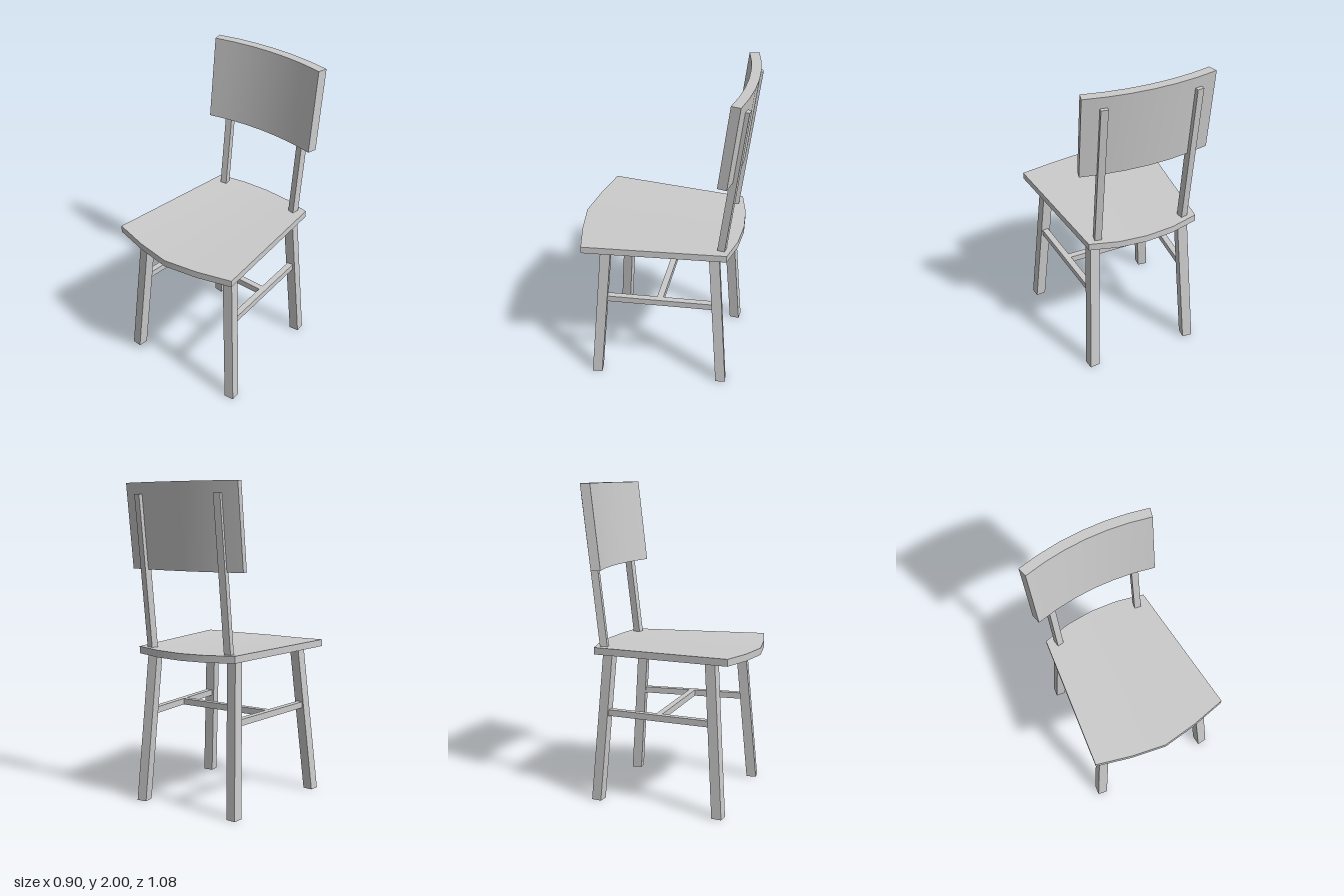
import * as THREE from 'three';

const grey = new THREE.MeshStandardMaterial({ color: 0xcccccc });

// Subdivided box whose vertices are moved by a rule; each side keeps its own normals.
function bentBox(name, segX, rule) {
  const geo = new THREE.BoxGeometry(2, 2, 2, segX, 1, 1);
  const pos = geo.attributes.position;
  for (let i = 0; i < pos.count; i++) {
    pos.setXYZ(i, ...rule(pos.getX(i), pos.getY(i), pos.getZ(i)));
  }
  geo.computeVertexNormals();
  const mesh = new THREE.Mesh(geo, grey);
  mesh.name = name;
  return mesh;
}

// Leaning post with level ends: a yawed w x d section slides from point a up to point b.
function post(name, a, b, w, d, yaw) {
  const c = Math.cos(yaw), s = Math.sin(yaw);
  return bentBox(name, 1, (u, v, t) => {
    const k = (v + 1) / 2, x = u * w / 2, z = t * d / 2;
    return [
      a[0] + (b[0] - a[0]) * k + x * c + z * s,
      a[1] + (b[1] - a[1]) * k,
      a[2] + (b[2] - a[2]) * k - x * s + z * c,
    ];
  });
}

// Level bar between two points.
function bar(name, a, b, height, width) {
  const from = new THREE.Vector3(...a), to = new THREE.Vector3(...b);
  const mesh = new THREE.Mesh(new THREE.BoxGeometry(width, height, from.distanceTo(to)), grey);
  mesh.position.copy(from).lerp(to, 0.5);
  mesh.lookAt(to);
  mesh.name = name;
  return mesh;
}

export function createModel() {
  const chair = new THREE.Group();
  chair.name = 'chair';

  // Tapered seat, bowed at front and back and slightly dished across its width
  const frontEdge = [0.537, 0.503, 0.45], backEdge = [-0.497, -0.483, -0.44];
  chair.add(bentBox('seat', 4, (u, v, t) => {
    const i = Math.round(Math.abs(u) * 2);
    const x = u * (t > 0 ? 0.45 : 0.36);
    const y = 0.963 + v * 0.022 + 0.06 * x * x;
    return [x, y, t > 0 ? frontEdge[i] : backEdge[i]];
  }));

  for (const [side, m] of [['left', 1], ['right', -1]]) {
    // Splayed legs, turned to follow the seat sides
    chair.add(post(side + 'FrontLeg', [m * 0.41, 0, 0.39], [m * 0.335, 0.955, 0.32], 0.064, 0.064, m * 0.1));
    chair.add(post(side + 'BackLeg', [m * 0.345, 0, -0.43], [m * 0.3, 0.955, -0.356], 0.064, 0.064, m * 0.1));
    // Back posts, turned to follow the curve of the backrest
    chair.add(post(side + 'BackPost', [m * 0.288, 0.955, -0.395], [m * 0.288, 1.93, -0.508], 0.043, 0.047, m * -0.17));
    // Side stretcher
    chair.add(bar(side + 'Stretcher', [m * 0.365, 0.575, 0.335], [m * 0.318, 0.575, -0.37], 0.04, 0.04));
  }
  chair.add(bar('crossStretcher', [-0.34, 0.575, -0.02], [0.34, 0.575, -0.02], 0.04, 0.04));

  // Curved, leaning backrest: an arc with radial ends
  const radius = 1.68, halfAngle = 0.246;
  chair.add(bentBox('backrest', 6, (u, v, t) => {
    const a = u * halfAngle;
    const r = radius - (t + 1) * 0.03;
    const k = (v + 1) / 2;
    return [r * Math.sin(a), 1.477 + 0.523 * k, radius - 0.48 - 0.06 * k - r * Math.cos(a)];
  }));

  return chair;
}
